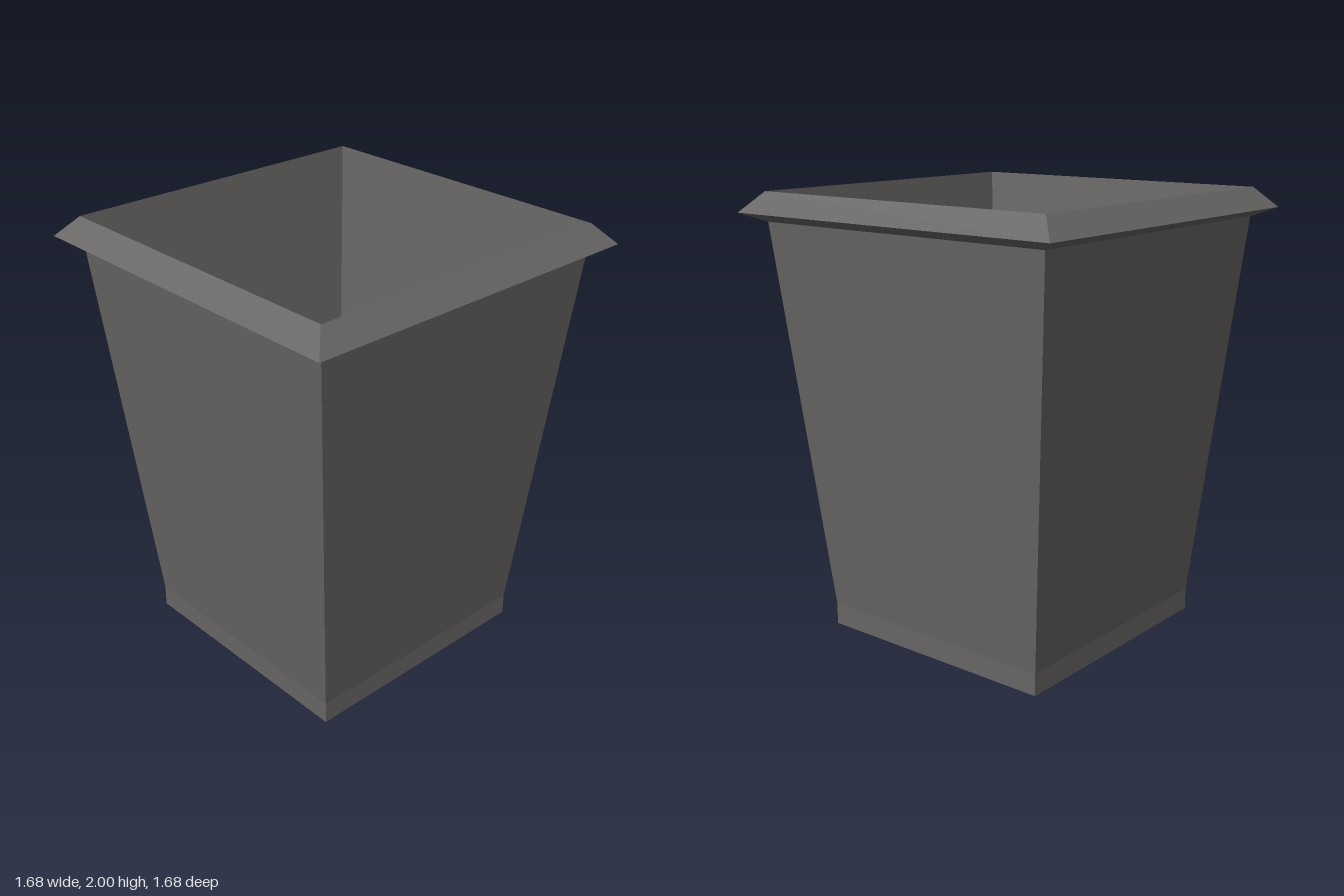
import * as THREE from 'three';

export function createModel() {
  const group = new THREE.Group();
  group.name = 'squarePlanter';
  const stone = new THREE.MeshStandardMaterial({ color: 0x686664 });
  stone.name = 'darkGrey';

  // Sweeps a profile of [half width, height] points around a square
  function addSquare(name, profile) {
    const points = profile.map(([w, y]) => new THREE.Vector2(w * Math.SQRT2, y));
    const geometry = new THREE.LatheGeometry(points, 4, Math.PI / 4).toNonIndexed();
    geometry.computeVertexNormals(); // flat faces
    const mesh = new THREE.Mesh(geometry, stone);
    mesh.name = name;
    group.add(mesh);
  }

  // Underside and straight foot
  addSquare('foot', [[0, 0], [0.585, 0], [0.585, 0.1]]);
  // Tapered outer walls
  addSquare('outerWalls', [[0.585, 0.1], [0.75, 1.87]]);
  // Flared lip with a bevelled top
  addSquare('rim', [[0.75, 1.87], [0.84, 1.91], [0.755, 2]]);
  // Hollow inside, down to the floor
  addSquare('innerWalls', [[0.755, 2], [0.525, 0.06]]);
  addSquare('innerFloor', [[0.525, 0.06], [0, 0.06]]);

  return group;
}
